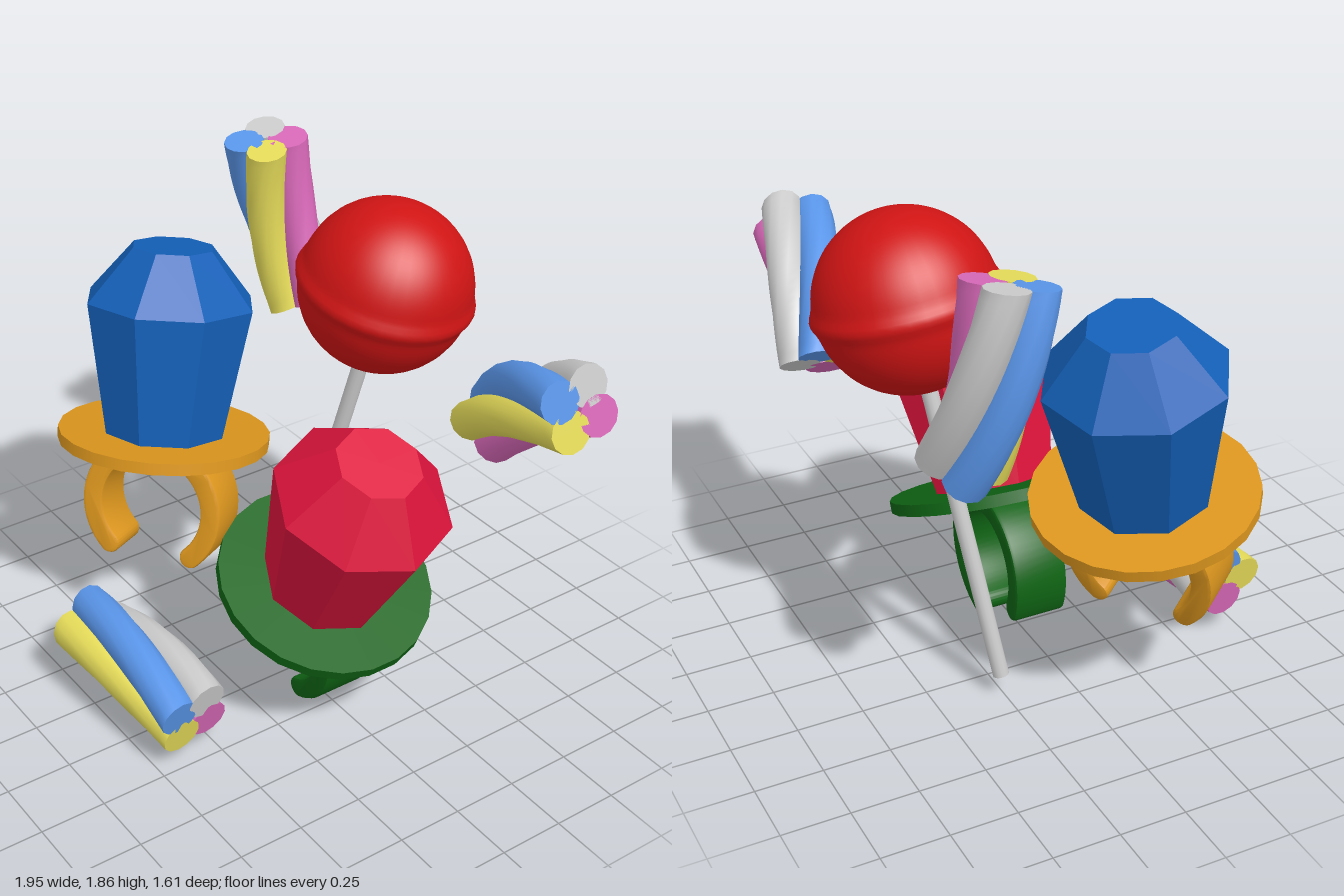
import * as THREE from 'three';
import { toCreasedNormals } from 'three/addons/utils/BufferGeometryUtils.js';

const V = (x, y, z) => new THREE.Vector3(x, y, z);
const UP = V(0, 1, 0);

function part(name, geometry, color, flatShading = false) {
  const mesh = new THREE.Mesh(geometry, new THREE.MeshStandardMaterial({ color, flatShading }));
  mesh.name = name;
  return mesh;
}

// Points the group's y axis along the given direction, after a turn about it
function place(group, position, axis, yaw = 0) {
  group.position.copy(position);
  group.quaternion.setFromUnitVectors(UP, axis.clone().normalize())
    .multiply(new THREE.Quaternion().setFromAxisAngle(UP, yaw));
  return group;
}

// Open finger band with rounded tips, gap facing down
function bandGeometry() {
  const outer = 0.285, inner = 0.203, width = 0.21, gap = 0.76, bevel = 0.012;
  const start = -Math.PI / 2 + gap, end = 1.5 * Math.PI - gap;
  const mid = (outer + inner) / 2, half = (outer - inner) / 2;
  const shape = new THREE.Shape();
  shape.absarc(0, 0, outer, start, end, false);
  shape.absarc(mid * Math.cos(end), mid * Math.sin(end), half, end, end + Math.PI, false);
  shape.absarc(0, 0, inner, end, start, true);
  shape.absarc(mid * Math.cos(start), mid * Math.sin(start), half, start + Math.PI, start + 2 * Math.PI, false);
  const geo = new THREE.ExtrudeGeometry(shape, {
    depth: width - 2 * bevel, curveSegments: 24, bevelEnabled: true,
    bevelSize: bevel, bevelThickness: bevel, bevelOffset: -bevel, bevelSegments: 2
  });
  geo.translate(0, -0.27, -width / 2 + bevel);
  return toCreasedNormals(geo, 0.6);
}

// Candy ring: faceted gem on a disc with a finger band
function candyRing(name, gemColor, baseColor) {
  const group = new THREE.Group();
  group.name = name;
  const gemProfile = [[0, 0.01], [0.235, 0.01], [0.328, 0.53], [0.157, 0.735], [0, 0.735]];
  const gem = new THREE.LatheGeometry(gemProfile.map(([x, y]) => new THREE.Vector2(x, y)), 8);
  group.add(
    part('gem', gem, gemColor, true),
    part('disc', new THREE.CylinderGeometry(0.405, 0.405, 0.045, 22), baseColor),
    part('fingerBand', bandGeometry(), baseColor)
  );
  return group;
}

// Lollipop: ball with a raised seam, on a stick
function lollipop() {
  const group = new THREE.Group();
  group.name = 'lollipop';
  const profile = [];
  for (let i = 0; i <= 60; i++) {
    const a = (i / 60 - 0.5) * Math.PI;
    const r = 0.322 + 0.016 * Math.exp(-((a / 0.09) ** 2));
    profile.push(new THREE.Vector2(Math.max(0, r * Math.cos(a)), r * Math.sin(a)));
  }
  const stick = new THREE.CylinderGeometry(0.03, 0.03, 1.2, 14);
  stick.translate(0, -0.85, 0);
  group.add(part('candyBall', new THREE.LatheGeometry(profile, 36), 0xd01414),
    part('stick', stick, 0xcccccc));
  return group;
}

// One capped strand winding round a bent centre line
function strandGeometry(curve, normal, endAngle, turn) {
  const sides = 12, steps = 20, offset = 0.083, radius = 0.076;
  const rows = [[0, 0], [0, 1]];
  for (let i = 0; i <= steps; i++) rows.push([i / steps, 1]);
  rows.push([1, 1], [1, 0]);
  const pos = [], idx = [];
  rows.forEach(([t, scale], i) => {
    const c = curve.getPoint(t), d = curve.getTangent(t);
    const n = normal.clone().addScaledVector(d, -normal.dot(d)).normalize();
    const b = d.clone().cross(n);
    const phi = endAngle - turn * (1 - t);
    for (let j = 0; j < sides; j++) {
      const a = phi + (j / sides) * 2 * Math.PI;
      const p = c.clone()
        .addScaledVector(n, offset * Math.cos(phi) + scale * radius * Math.cos(a))
        .addScaledVector(b, offset * Math.sin(phi) + scale * radius * Math.sin(a));
      pos.push(p.x, p.y, p.z);
      if (i < rows.length - 1) {
        const k = (j + 1) % sides, r0 = i * sides, r1 = r0 + sides;
        idx.push(r0 + j, r0 + k, r1 + k, r0 + j, r1 + k, r1 + j);
      }
    }
  });
  const geo = new THREE.BufferGeometry();
  geo.setAttribute('position', new THREE.Float32BufferAttribute(pos, 3));
  geo.setIndex(idx);
  geo.computeVertexNormals();
  return geo;
}

// Twisted marshmallow of four strands, bowed towards the normal
function twist(name, from, to, normal, bow, turn) {
  const group = new THREE.Group();
  group.name = name;
  const middle = from.clone().lerp(to, 0.5).addScaledVector(normal, 2 * bow);
  const curve = new THREE.QuadraticBezierCurve3(from, middle, to);
  const strands = [['whiteStrand', 0xcccccc], ['blueStrand', 0x5a96ea],
    ['yellowStrand', 0xe6dc5a], ['pinkStrand', 0xd868b8]];
  strands.forEach(([label, color], i) => {
    const angle = -0.58 + i * Math.PI / 2;
    group.add(part(label, strandGeometry(curve, normal, angle, turn), color));
  });
  return group;
}

export function createModel() {
  const model = new THREE.Group();
  model.name = 'candyAssortment';
  model.add(
    place(candyRing('blueCandyRing', 0x1460b8, 0xdc961e), V(-0.59, 0.83, 0.195), V(-0.14, 0.975, -0.18), 0.61),
    place(candyRing('redCandyRing', 0xdc143c, 0x0f6414), V(0.185, 0.515, -0.005), V(0.415, 0.91, 0)),
    place(lollipop(), V(-0.075, 1.49, -0.455), V(0.31, 1.41, -0.195)),
    twist('frontTwist', V(-0.42, 0.23, 0.66), V(0.25, 0.2, 0.615), V(0, 1, 0), 0.035, 1.15),
    twist('rightTwist', V(0.38, 1.09, -0.6), V(0.91, 1.43, -0.5), V(-0.54, 0.84, 0), 0.05, 1.35),
    twist('leftTwist', V(-0.665, 1.17, -0.53), V(-0.78, 1.825, -0.415), V(-1, 0, 0), 0.045, 1.25)
  );
  return model;
}
